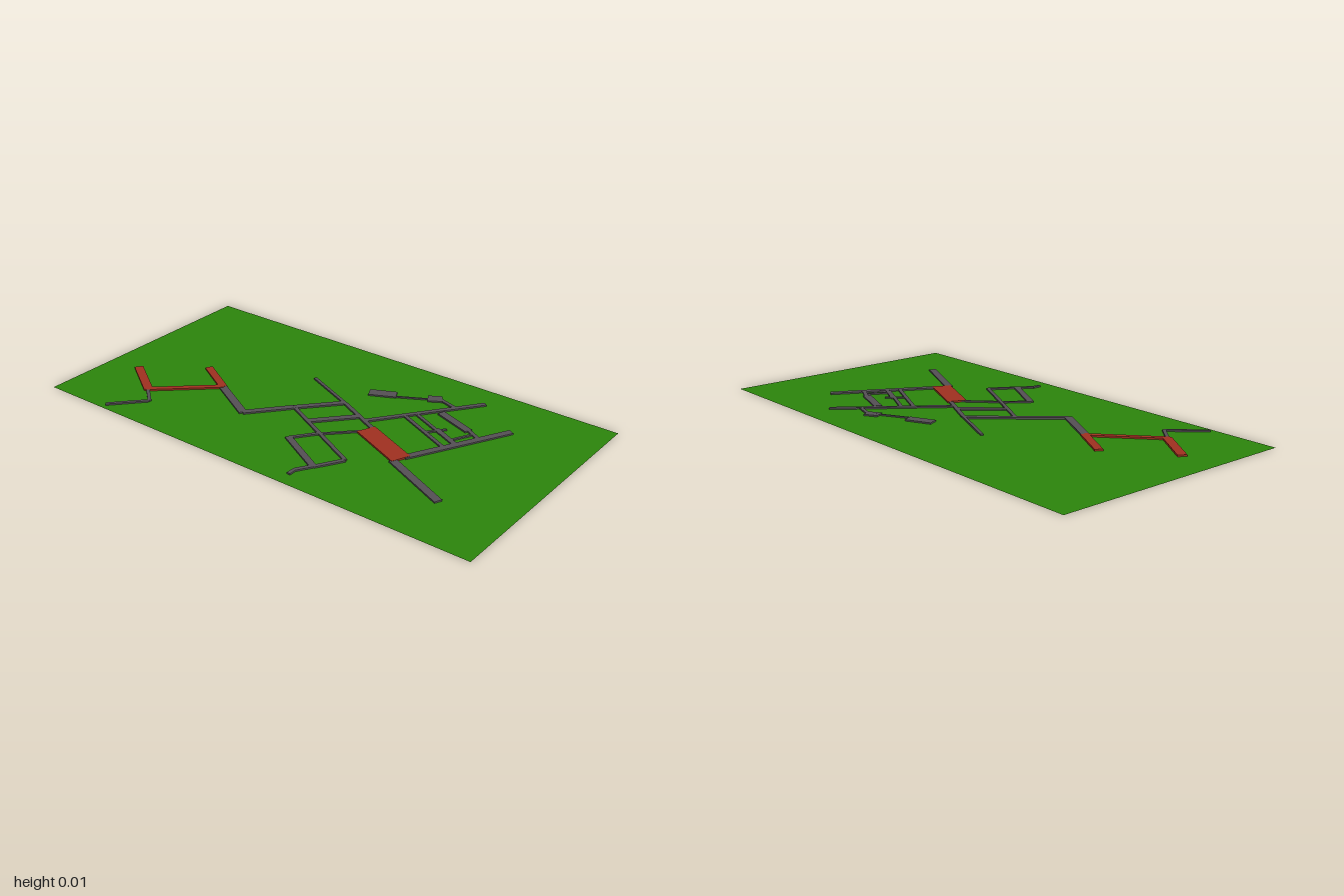
import * as THREE from 'three';

const TOP = 0.007, BASE = 0.0004;

// Strips: [x1, z1, x2, z2, width]
const GREY = [
  // western road and spur
  [-0.445, 0.112, -0.238, 0.225, 0.032], [-0.240, 0.225, -0.107, 0.068, 0.026],
  [-0.107, 0.068, 0.032, -0.086, 0.024],
  [-0.674, 0.315, -0.599, 0.380, 0.014], [-0.599, 0.380, -0.717, 0.508, 0.014],
  // central streets
  [-0.198, -0.184, 0.040, -0.080, 0.013], [0.040, -0.080, 0.246, 0.020, 0.017],
  [0.008, 0.123, 0.142, -0.027, 0.027], [-0.107, 0.066, 0.302, 0.273, 0.015],
  [0.182, -0.016, 0.481, -0.417, 0.020],
  // southern loop
  [0.222, 0.059, 0.107, 0.174, 0.010], [0.102, 0.176, 0.032, 0.267, 0.014],
  [0.027, 0.267, 0.238, 0.380, 0.026], [0.302, 0.273, 0.238, 0.380, 0.017],
  [0.238, 0.375, 0.198, 0.439, 0.017], [0.198, 0.436, 0.198, 0.474, 0.015],
  // eastern avenues
  [0.460, 0.123, 0.677, -0.283, 0.028], [0.440, 0.168, 0.725, 0.299, 0.032],
  // northern blocks and links
  [0.053, -0.219, 0.155, -0.267, 0.046], [0.139, -0.241, 0.286, -0.321, 0.007],
  [0.272, -0.318, 0.322, -0.348, 0.045], [0.318, -0.342, 0.406, -0.316, 0.015],
  // grid between the avenues
  [0.380, -0.249, 0.543, -0.190, 0.032], [0.543, -0.193, 0.615, -0.155, 0.016],
  [0.300, -0.187, 0.470, -0.108, 0.014], [0.278, -0.144, 0.545, -0.021, 0.015],
  [0.470, -0.150, 0.415, -0.080, 0.010], [0.438, -0.128, 0.567, -0.067, 0.021],
  [0.567, -0.170, 0.520, -0.080, 0.010],
];
const RED = [
  [-0.852, 0.192, -0.674, 0.312, 0.036], [-0.684, 0.318, -0.447, 0.106, 0.024],
  [-0.615, 0.014, -0.445, 0.110, 0.032],
  [0.226, 0.040, 0.460, 0.142, 0.080],
];

// Low flat box running between two ground points
function strip([x1, z1, x2, z2, w], material, name, top) {
  const dx = x2 - x1, dz = z2 - z1;
  const mesh = new THREE.Mesh(new THREE.BoxGeometry(Math.hypot(dx, dz), top - BASE, w), material);
  mesh.position.set((x1 + x2) / 2, (top + BASE) / 2, (z1 + z2) / 2);
  mesh.rotation.y = -Math.atan2(dz, dx);
  mesh.name = name;
  return mesh;
}

export function createModel() {
  const model = new THREE.Group();
  model.name = 'sitePlan';

  // Thin green field
  const field = new THREE.Mesh(
    new THREE.PlaneGeometry(2, 1.064).rotateX(-Math.PI / 2),
    new THREE.MeshStandardMaterial({ color: 0x2c850c, side: THREE.DoubleSide }));
  field.name = 'field';
  model.add(field);

  // Grey streets, with tiny height steps so crossings stay clean
  const streets = new THREE.Group();
  streets.name = 'streets';
  const grey = new THREE.MeshStandardMaterial({ color: 0x555055 });
  GREY.forEach((s, i) => streets.add(strip(s, grey, 'street', TOP - i * 0.00003)));

  // Red paths and the central plaza
  const paths = new THREE.Group();
  paths.name = 'redPaths';
  const red = new THREE.MeshStandardMaterial({ color: 0xa03020 });
  RED.forEach((s, i) => paths.add(strip(s, red, i === 3 ? 'plaza' : 'redPath', TOP + 0.0004 - i * 0.00003)));

  model.add(streets, paths);
  return model;
}
